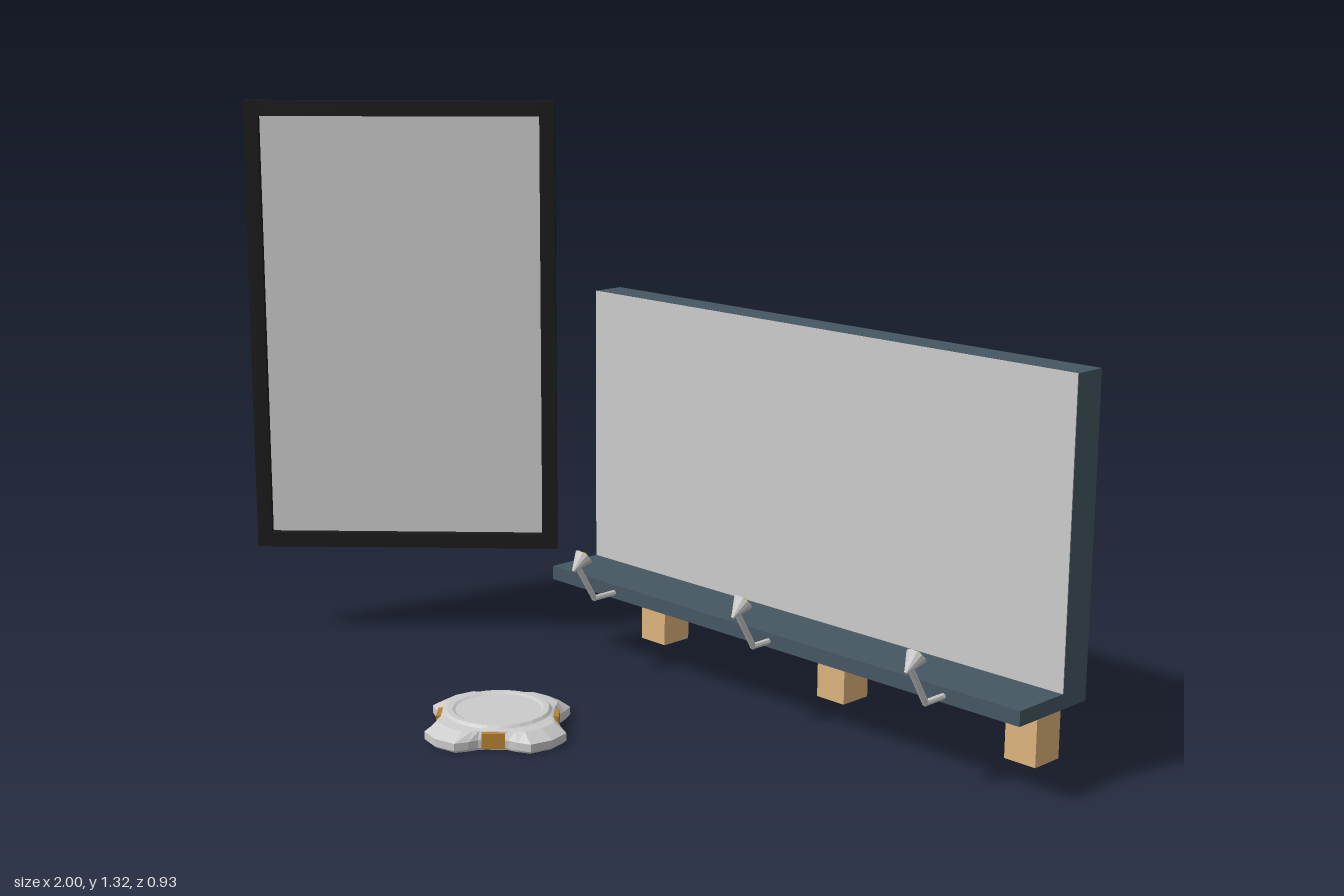
import * as THREE from 'three';

const mat = (color, extra = {}) => new THREE.MeshStandardMaterial({ color, ...extra });
const grey = mat(0xcccccc, { flatShading: true });
const greyOpen = mat(0xcccccc, { flatShading: true, side: THREE.DoubleSide });
const slate = mat(0x455763);
const wood = mat(0xdeb47c);
const black = mat(0x1b1b1b);
const yellow = mat(0xe3c81e);
const amber = mat(0xb98330);

function add(parent, name, geometry, material, x = 0, y = 0, z = 0) {
  const mesh = new THREE.Mesh(geometry, material);
  mesh.name = name;
  mesh.position.set(x, y, z);
  parent.add(mesh);
  return mesh;
}

// Box given by its minimum and maximum on each axis
function block(parent, name, material, [x0, x1], [y0, y1], [z0, z1]) {
  return add(parent, name, new THREE.BoxGeometry(x1 - x0, y1 - y0, z1 - z0), material,
    (x0 + x1) / 2, (y0 + y1) / 2, (z0 + z1) / 2);
}

function group(parent, name, x = 0, y = 0, z = 0) {
  const g = new THREE.Group();
  g.name = name;
  g.position.set(x, y, z);
  parent.add(g);
  return g;
}

// Straight rod between two points
function rod(parent, name, a, b, radius) {
  const dir = b.clone().sub(a);
  const mesh = add(parent, name, new THREE.CylinderGeometry(radius, radius, dir.length(), 8), grey);
  mesh.position.copy(a).add(b).multiplyScalar(0.5);
  mesh.quaternion.setFromUnitVectors(new THREE.Vector3(0, 1, 0), dir.normalize());
}

// Skin over stacked rings; radius(layer, angle) gives each ring's outline
function loft(layers, angles, radius) {
  const pos = [], index = [], n = angles.length;
  layers.forEach((layer) => angles.forEach((a) => {
    const r = radius(layer, a);
    pos.push(r * Math.cos(a), layer.y, -r * Math.sin(a));
  }));
  for (let i = 0; i < layers.length - 1; i++) {
    for (let j = 0; j < n; j++) {
      const k = (j + 1) % n, a = i * n, b = a + n;
      index.push(a + j, a + k, b + k, a + j, b + k, b + j);
    }
  }
  const g = new THREE.BufferGeometry();
  g.setAttribute('position', new THREE.Float32BufferAttribute(pos, 3));
  g.setIndex(index);
  g.computeVertexNormals();
  return g;
}

// Framed upright screen, turned 45 degrees
function buildScreen(root) {
  const g = group(root, 'sideScreen', -0.727, 0.772, 0.012);
  g.rotation.y = Math.PI / 4;
  const w = 0.37, h = 0.547, b = 0.036;
  block(g, 'screenBack', black, [-w, w], [-h, h], [-0.015, -0.006]);
  for (const s of [-1, 1]) {
    const side = [s * w, s * (w - b)].sort((p, q) => p - q);
    const edge = [s * h, s * (h - b)].sort((p, q) => p - q);
    block(g, 'frameSide', black, side, [-h, h], [-0.015, 0.015]);
    block(g, 'frameEdge', black, [-w + b, w - b], edge, [-0.015, 0.015]);
  }
  block(g, 'screenFace', grey, [-w + b, w - b], [-h + b, h - b], [-0.008, -0.004]);
}

// Board with ledge, carried by posts and rails
function buildBoard(root) {
  const g = group(root, 'board');
  block(g, 'boardPanel', slate, [-0.38, 1], [0.18, 0.87], [-0.382, -0.304]);
  block(g, 'boardFace', grey, [-0.38, 1], [0.213, 0.87], [-0.304, -0.302]);
  block(g, 'ledge', slate, [-0.38, 1], [0.18, 0.213], [-0.304, -0.16]);
  block(g, 'undersideStrip', grey, [-0.36, 0.98], [0.178, 0.181], [-0.318, -0.29]);
  for (const x of [-0.26, 0.318, 0.845]) {
    block(g, 'post', wood, [x - 0.04, x + 0.04], [0, 0.695], [-0.464, -0.382]);
  }
  for (const y of [0.192, 0.352]) {
    block(g, 'rail', wood, [-0.315, 0.9], [y, y + 0.079], [-0.464, -0.382]);
  }
}

// Small lamp on a bent arm, aimed up at the board
function buildLamp(root, x, dz) {
  const g = group(root, 'lamp', x, 0, 0);
  const elbow = new THREE.Vector3(0, 0.194, -0.097 + dz);
  rod(g, 'lampArm', new THREE.Vector3(0, 0.194, -0.165), elbow, 0.007);
  rod(g, 'lampStem', elbow, new THREE.Vector3(0, 0.279, -0.046 + dz), 0.007);
  add(g, 'lampElbow', new THREE.SphereGeometry(0.0073, 8, 6), grey).position.copy(elbow);
  const head = group(g, 'lampHead', 0, 0.288, -0.049 + dz);
  head.rotation.x = -0.85;
  add(head, 'lampShade', new THREE.CylinderGeometry(0.023, 0.005, 0.04, 12, 1, true), greyOpen);
  add(head, 'lampCap', new THREE.CylinderGeometry(0.0055, 0.004, 0.006, 12), grey, 0, -0.021, 0);
  add(head, 'lampBulb', new THREE.SphereGeometry(0.016, 12, 8), yellow, 0, 0.013, 0);
}

// Low round base unit with four lobes and amber lights between them
function buildBaseUnit(root) {
  const g = group(root, 'baseUnit', -0.062, 0, 0.285);
  const deg = Math.PI / 180;
  // Outline of one quarter: angle from the lobe's middle, radius
  const outline = [[-38, 0.131], [-31, 0.136], [-25, 0.152], [-17, 0.174], [0, 0.178],
    [17, 0.174], [25, 0.152], [31, 0.136], [38, 0.131]];
  const angles = [], reach = new Map();
  for (let q = 0; q < 4; q++) {
    for (const [a, r] of outline) {
      const angle = (q * 90 + a) * deg;
      angles.push(angle);
      reach.set(angle, r);
    }
  }
  // round = circle radius, lobe = how much of the lobed outline remains
  const layers = [
    { y: 0.006, round: 0, lobe: 0 }, { y: 0.006, round: 0.105, lobe: 0 },
    { y: 0, round: 0.11, lobe: 0 }, { y: 0, round: 0.11, lobe: 0.93 },
    { y: 0.005, round: 0.11, lobe: 1 }, { y: 0.022, round: 0.11, lobe: 1 },
    { y: 0.04, round: 0.118, lobe: 0.45 }, { y: 0.043, round: 0.118, lobe: 0 },
    { y: 0.049, round: 0.112, lobe: 0 }, { y: 0.049, round: 0.1, lobe: 0 },
    { y: 0.046, round: 0.094, lobe: 0 }, { y: 0.046, round: 0, lobe: 0 },
  ];
  add(g, 'baseShell', loft(layers, angles,
    (l, a) => l.round + l.lobe * (reach.get(a) - l.round)), grey);
  const disc = add(g, 'undersideDisc', new THREE.CircleGeometry(0.104, 36), mat(0x444444), 0, 0.005, 0);
  disc.rotation.x = Math.PI / 2;
  for (let q = 0; q < 4; q++) {
    const mount = group(g, 'lightMount');
    mount.rotation.y = (45 + q * 90) * deg;
    block(mount, 'amberLight', amber, [0.1, 0.134], [0.004, 0.038], [-0.025, 0.025]);
  }
}

export function createModel() {
  const root = new THREE.Group();
  root.name = 'displayStand';
  buildScreen(root);
  buildBoard(root);
  [[-0.165, 0], [0.328, -0.014], [0.81, -0.006]].forEach(([x, dz]) => buildLamp(root, x, dz));
  buildBaseUnit(root);
  return root;
}
